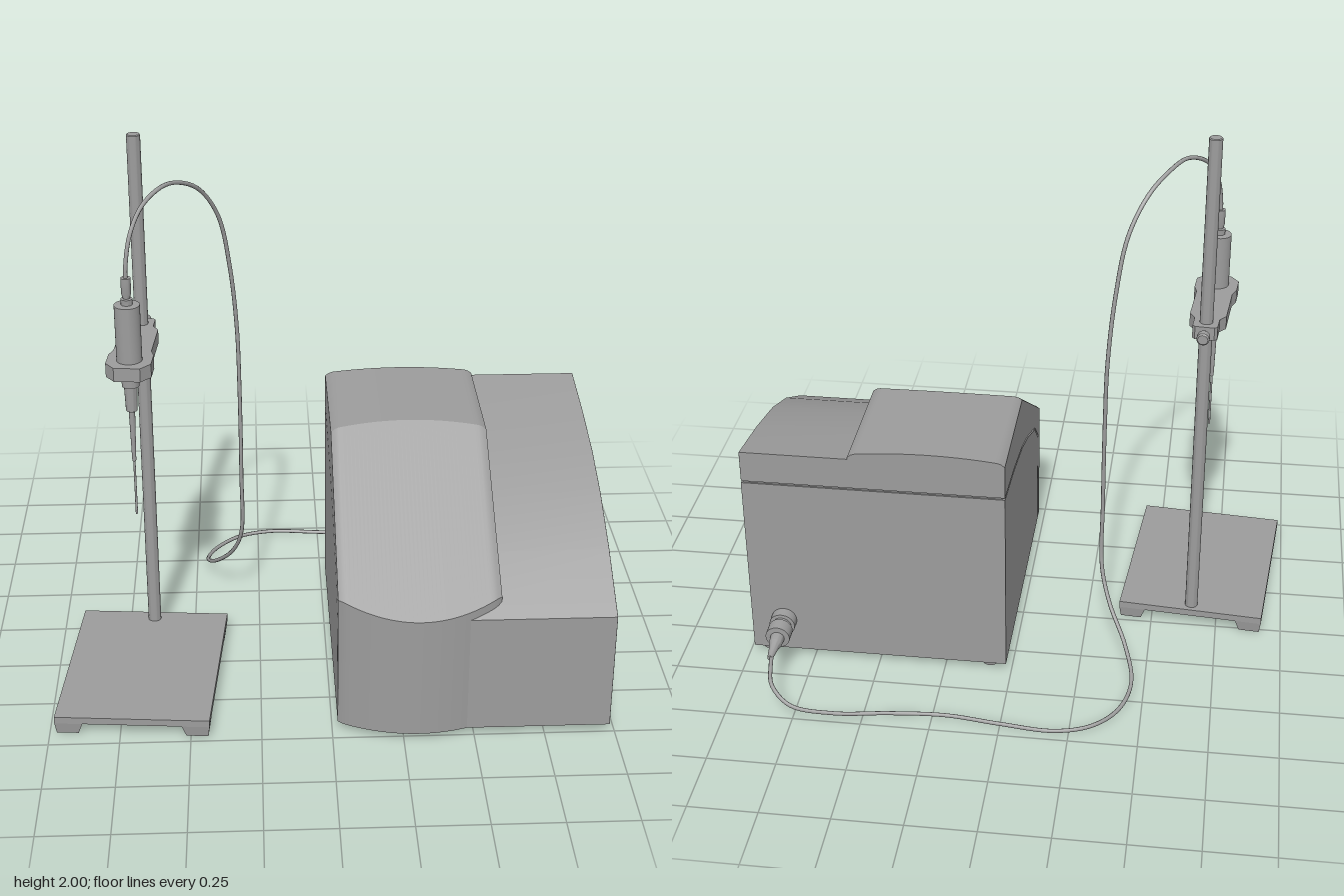
import * as THREE from 'three';
import { toCreasedNormals } from 'three/addons/utils/BufferGeometryUtils.js';

const material = new THREE.MeshStandardMaterial({ color: 0x9c9c9c, side: THREE.DoubleSide });

function add(parent, name, geometry, x = 0, y = 0, z = 0) {
  const mesh = new THREE.Mesh(geometry, material);
  mesh.name = name;
  mesh.position.set(x, y, z);
  parent.add(mesh);
  return mesh;
}

// Extrude a side profile of [z, y] points from x0 to x1
function extrudeX(points, x0, x1, bevel = 0, steps = 1) {
  const shape = new THREE.Shape(points.map(([z, y]) => new THREE.Vector2(z, y)));
  const geo = new THREE.ExtrudeGeometry(shape, {
    depth: x1 - x0 - 2 * bevel, steps, bevelEnabled: bevel > 0, bevelSegments: 2,
    bevelSize: bevel, bevelOffset: -bevel, bevelThickness: bevel,
  });
  return geo.rotateY(-Math.PI / 2).translate(x1 - bevel, 0, 0);
}

// Turned part from [radius, height] points, with crisp steps
function turned(points, segments = 32) {
  const geo = new THREE.LatheGeometry(points.map(([r, y]) => new THREE.Vector2(r, y)), segments);
  return toCreasedNormals(geo, 0.5);
}

// Seam between cover and lower body, from the back to the front
const seam = [[-0.372, 0.762], [-0.124, 0.733], [0.124, 0.685], [0.29, 0.632], [0.526, 0.532], [0.643, 0.431], [0.643, 0.028]];
// Upper line of the low side of the cover, from the front to the back
const coverTop = [[0.748, 0.028], [0.748, 0.473], [0.526, 0.615], [0.31, 0.725], [0.114, 0.794], [-0.124, 0.845], [-0.372, 0.882]];

function hoodGeometry() {
  const x0 = 0.02, x1 = 0.587, mid = (x0 + x1) / 2, half = (x1 - x0) / 2;
  const profile = [...seam, [0.71, 0.028], [0.71, 0.5], [0.1, 0.915], [-0.372, 0.915]];
  const geo = extrudeX(profile, x0, x1, 0, 40);
  const p = geo.attributes.position;
  const slope = (z) => 0.92 - 0.631 * (z - 0.09);
  // Bow the front in plan, arch the roof, and soften both long edges
  for (let i = 0; i < p.count; i++) {
    const u = Math.abs((p.getX(i) - mid) / half);
    const drop = u > 0.99 ? 0.012 : u > 0.94 ? 0.003 : 0;
    const roof = 0.902 + 0.018 * (1 - u * u);
    const z = p.getZ(i), y = p.getY(i);
    if (z > 0.7) {
      const front = 0.777 - 0.08 * u * u - drop * 0.6;
      p.setZ(i, front);
      if (y > 0.1) p.setY(i, slope(front) - drop);
    } else if (y > 0.9) {
      if (z > 0) p.setZ(i, 0.09 + (0.92 - roof) / 0.631);
      p.setY(i, roof - drop);
    }
  }
  return toCreasedNormals(geo, 0.35);
}

function buildInstrument() {
  const g = new THREE.Group();
  g.name = 'instrument';

  // Lower body, cover and hood, parted by a thin groove over an inner core
  const gap = 0.008;
  const lower = seam.map(([z, y], i) => [i > 4 ? z - gap : z, i < 6 ? y - gap : y]);
  add(g, 'lowerBody', toCreasedNormals(extrudeX([[-0.372, 0.028], ...lower.reverse()], 0.02, 0.983), 0.35));
  const core = seam.map(([z, y], i) => [i ? z + 0.015 : -0.364, i < 6 ? y + 0.03 : 0.034]);
  add(g, 'core', extrudeX([[-0.364, 0.034], ...core.reverse()], 0.028, 0.975));
  add(g, 'sideCover', toCreasedNormals(extrudeX([...seam, ...coverTop], 0.46, 0.983, 0.003), 0.35));
  add(g, 'hood', hoodGeometry());

  // Round feet
  for (const [x, z] of [[0.93, 0.66], [0.135, 0.66], [0.93, -0.32], [0.085, -0.32]]) {
    add(g, 'foot', new THREE.CylinderGeometry(0.036, 0.03, 0.032, 24), x, 0.016, z);
  }

  // Cable plug on the back
  const plug = turned([[0, 0], [0.048, 0], [0.048, 0.04], [0.036, 0.042], [0.036, 0.058], [0.045, 0.06],
    [0.045, 0.112], [0.026, 0.114], [0.024, 0.15], [0.018, 0.165], [0.01, 0.23], [0, 0.23]]);
  add(g, 'plug', plug, 0.86, 0.16, -0.37).rotation.x = -Math.PI / 2 - 0.05;
  return g;
}

function buildStand() {
  // Origin at the rod; the base and clamp reach forward along local z
  const g = new THREE.Group();
  g.name = 'stand';
  g.position.set(-0.652, 0, 0.042);
  g.rotation.y = -0.084;
  const w = 0.551, d = 0.706, cz = 0.312;
  add(g, 'basePlate', new THREE.BoxGeometry(w, 0.026, d), 0, 0.055, cz);

  // Tapered corner feet with a clipped inner corner
  const footShape = new THREE.Shape([[0, 0], [0.1, 0], [0.1, 0.05], [0.05, 0.1], [0, 0.1]].map((c) => new THREE.Vector2(...c)));
  for (const sx of [-1, 1]) for (const sz of [-1, 1]) {
    const geo = new THREE.ExtrudeGeometry(footShape, { depth: 0.044, bevelEnabled: false }).rotateX(Math.PI / 2);
    const p = geo.attributes.position;
    for (let i = 0; i < p.count; i++) {
      if (p.getY(i) < -0.02) {
        p.setX(i, 0.006 + p.getX(i) * 0.78);
        p.setZ(i, 0.006 + p.getZ(i) * 0.78);
      }
    }
    geo.computeVertexNormals();
    const foot = add(g, 'baseFoot', geo, sx * w / 2, 0.044, cz + sz * d / 2);
    foot.scale.set(-sx, 1, -sz);
  }

  add(g, 'rod', turned([[0, 0.05], [0.024, 0.05], [0.024, 1.997], [0.021, 2], [0, 2]]));

  // Clamp arm, mirrored about its long axis
  const halfOutline = [[0.035, -0.045], [0.045, -0.035], [0.045, 0.025], [0.066, 0.055], [0.066, 0.24],
    [0.078, 0.275], [0.078, 0.35], [0.045, 0.39]];
  const outline = [...halfOutline, ...halfOutline.map(([x, z]) => [-x, z]).reverse()];
  const clamp = new THREE.Shape(outline.map(([x, z]) => new THREE.Vector2(x, z)));
  add(g, 'clamp', new THREE.ExtrudeGeometry(clamp, { depth: 0.05, bevelEnabled: false }).rotateX(Math.PI / 2), 0, 1.3, 0);
  const knob = turned([[0, 0], [0.012, 0], [0.012, 0.025], [0.023, 0.027], [0.023, 0.052], [0.018, 0.057], [0, 0.057]]);
  add(g, 'clampKnob', knob, 0, 1.275, -0.04).rotation.x = -Math.PI / 2;

  // Probe with handle, stepped collar, fine needle and strain relief
  const probe = turned([[0, 0.7], [0.004, 0.702], [0.004, 0.91], [0.007, 0.915], [0.011, 1.105], [0.02, 1.11],
    [0.023, 1.2], [0.03, 1.203], [0.03, 1.25], [0.044, 1.255], [0.044, 1.503], [0.02, 1.505],
    [0.02, 1.525], [0.012, 1.527], [0.017, 1.545], [0.017, 1.6], [0, 1.6]]);
  add(g, 'probe', probe, 0, 0, 0.316);
  return g;
}

// Cable from the plug, over the floor and up to the probe
function buildCable() {
  const path = [
    [0.86, 0.152, -0.56], [0.85, 0.142, -0.63], [0.825, 0.12, -0.72], [0.75, 0.075, -0.768], [0.6, 0.04, -0.75],
    [0.4, 0.02, -0.7], [0.2, 0.012, -0.677], [0, 0.01, -0.698], [-0.2, 0.01, -0.713], [-0.33, 0.012, -0.67],
    [-0.42, 0.018, -0.57], [-0.455, 0.045, -0.44], [-0.42, 0.11, -0.31], [-0.35, 0.22, -0.2], [-0.314, 0.34, -0.14],
    [-0.31, 0.6, -0.115], [-0.31, 0.95, -0.117], [-0.315, 1.2, -0.125], [-0.335, 1.45, -0.1], [-0.37, 1.66, -0.055],
    [-0.43, 1.785, 0.015], [-0.495, 1.843, 0.1], [-0.555, 1.86, 0.19], [-0.62, 1.82, 0.27], [-0.66, 1.74, 0.328],
    [-0.677, 1.64, 0.355], [-0.679, 1.58, 0.357],
  ].map((c) => new THREE.Vector3(...c));
  return new THREE.TubeGeometry(new THREE.CatmullRomCurve3(path), 200, 0.0075, 8);
}

export function createModel() {
  const model = new THREE.Group();
  model.name = 'benchInstrumentWithProbeStand';
  model.add(buildInstrument(), buildStand());
  add(model, 'cable', buildCable());
  return model;
}
